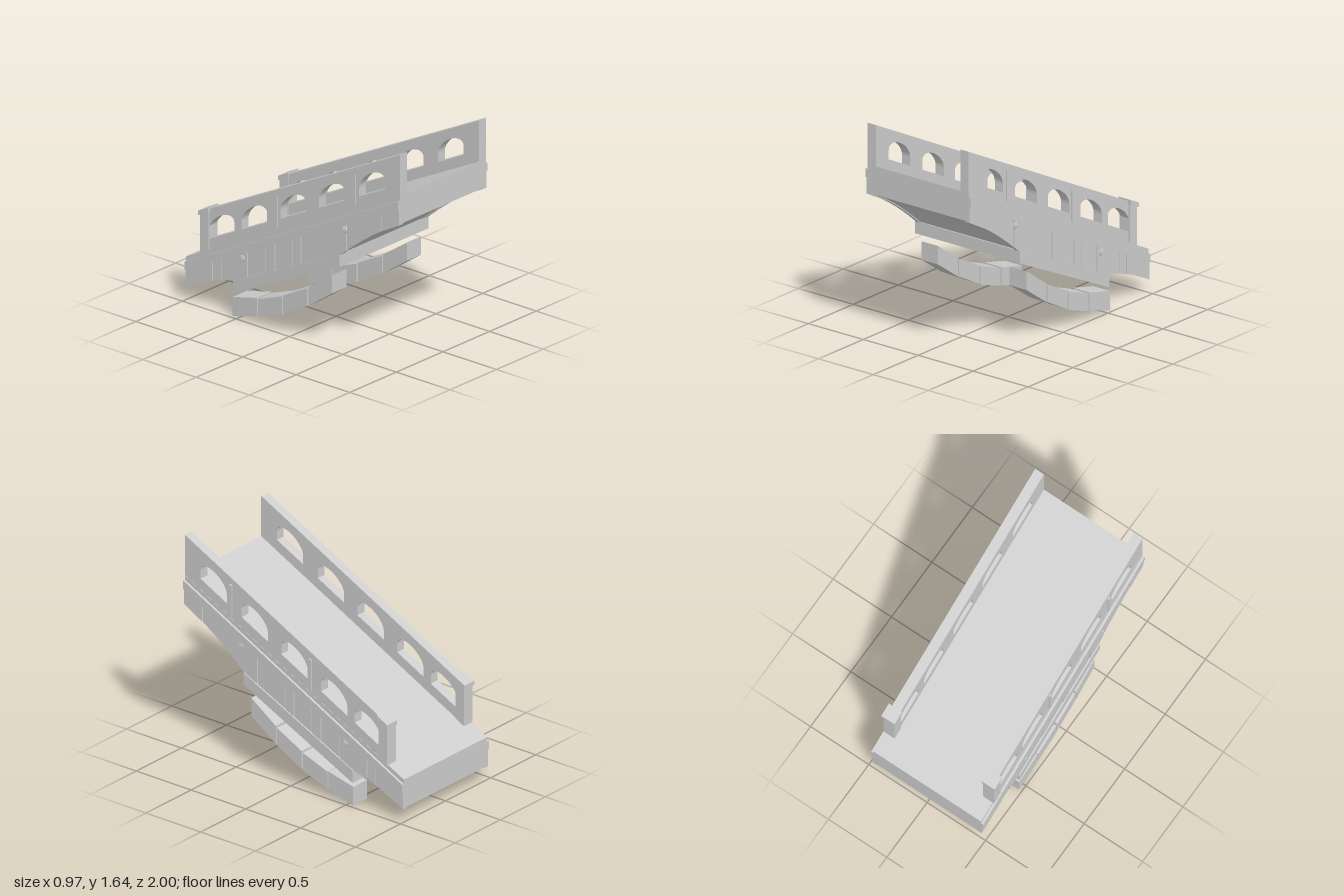
import * as THREE from 'three';

const stone = new THREE.MeshStandardMaterial({ color: 0xcccccc });
stone.name = 'paleStone';

// Deck height: everything is sheared along this slope
const deck = (z) => 0.83 + 0.5 * z;

// Extrude a side profile (z, y) across the width from x0 to x1
function slab(parent, name, shape, x0, x1) {
  const g = new THREE.ExtrudeGeometry(shape, { depth: x1 - x0, bevelEnabled: false, curveSegments: 12 });
  g.rotateY(-Math.PI / 2).translate(x1, 0, 0);
  const m = new THREE.Mesh(g, stone);
  m.name = name;
  parent.add(m);
}

const poly = (pts) => new THREE.Shape(pts.map(([z, y]) => new THREE.Vector2(z, y)));

// Sloped strip between two heights above the deck line
const strip = (z0, z1, h0, h1) => poly([
  [z0, deck(z0) + h0], [z1, deck(z1) + h0], [z1, deck(z1) + h1], [z0, deck(z0) + h1]]);

// Lower edge of the girder as [z, depth below deck], flared near the middle
const haunch = [[-1, -0.23], [-0.85, -0.233], [-0.75, -0.242], [-0.66, -0.257], [-0.545, -0.287],
  [0.45, -0.32], [0.56, -0.284], [0.676, -0.254], [0.76, -0.238], [0.835, -0.2285], [1, -0.223]];

function depthAt(z) {
  const i = Math.max(1, haunch.findIndex((p) => p[0] >= z));
  const [a, b] = [haunch[i - 1], haunch[i]];
  return a[1] + (b[1] - a[1]) * (z - a[0]) / (b[0] - a[0]);
}

// Girder profile between two stations
function girder(z0, z1, lift) {
  const zs = [z0, ...haunch.map((p) => p[0]).filter((z) => z > z0 && z < z1), z1];
  const pts = zs.map((z) => [z, deck(z) + depthAt(z) + lift]);
  return poly([...pts, [z1, deck(z1) - 0.09], [z0, deck(z0) - 0.09]]);
}

// Sheared round-headed opening
function archHole(zc) {
  const w = 0.12, pts = [[zc - w, deck(zc - w) + 0.084], [zc + w, deck(zc + w) + 0.084]];
  for (let i = 0; i <= 14; i++) {
    const a = Math.PI * i / 14, z = zc + w * Math.cos(a);
    pts.push([z, deck(z) + 0.152 + 0.083 * Math.sin(a)]);
  }
  return new THREE.Path(pts.map(([z, y]) => new THREE.Vector2(z, y)));
}

export function createModel() {
  const model = new THREE.Group();
  model.name = 'slopedBridge';

  // Deck, girder core and wide block below it
  slab(model, 'deckSlab', strip(-1, 1, -0.1, 0), -0.462, 0.462);
  slab(model, 'girderCore', girder(-1, 1, 0.008), -0.432, 0.432);
  slab(model, 'lowerBlock', poly([[-0.545, 0.175], [0.45, 0.645], [0.45, 0.737], [-0.545, 0.272]]), -0.477, 0.477);

  // Parapet with five openings
  const parapet = strip(-0.8, 1, 0, 0.312);
  for (const zc of [0.7375, 0.3625, 0, -0.362, -0.669]) parapet.holes.push(archHole(zc));

  // Supporting arch stones: z front, z back, then top and bottom heights at each
  const stones = [
    [0.38, 0.157, 0.565, 0.41, 0.425, 0.27], [0.146, -0.079, 0.4, 0.285, 0.265, 0.147],
    [-0.09, -0.314, 0.276, 0.195, 0.137, 0.062], [-0.325, -0.55, 0.2, 0.147, 0.062, 0]];

  // Vertical joints along the girder wall
  const joints = [-1, -0.747, -0.667, -0.42, -0.25, -0.164, 0, 0.08, 0.333, 0.505, 0.835, 1];

  for (const side of [1, -1]) {
    const half = new THREE.Group();
    half.name = side > 0 ? 'leftSide' : 'rightSide';
    model.add(half);
    const add = (name, shape, xIn, xOut) =>
      slab(half, name, shape, side > 0 ? xIn : -xOut, side > 0 ? xOut : -xIn);

    add('parapet', parapet, 0.385, 0.46);
    add('curb', strip(-1, 1, -0.1, -0.035), 0.415, 0.48);
    add('girderWall', girder(-1, 1, 0), 0.43, 0.458);

    // Wall panels separated by narrow grooves
    for (let i = 0; i < joints.length - 1; i++) {
      const a = joints[i] + (i ? 0.003 : 0);
      const b = joints[i + 1] - (i < joints.length - 2 ? 0.003 : 0);
      add('wallPanel', girder(a, b, 0), 0.45, i % 2 ? 0.466 : 0.469);
    }

    // End post and cap
    add('endPost', strip(-0.857, -0.78, 0, 0.3), 0.378, 0.475);
    add('endPostCap', strip(-0.866, -0.773, 0.29, 0.325), 0.373, 0.486);

    // Thin upright ribs on the parapet
    for (const z of [0.577, -0.15]) add('parapetRib', strip(z - 0.01, z + 0.01, 0.025, 0.26), 0.455, 0.471);

    for (const [z0, z1, t0, t1, b0, b1] of stones) {
      add('archStone', poly([[z1, b1], [z0, b0], [z0, t0], [z1, t1]]), 0.325, 0.477);
    }

    // Round anchor bolts
    for (const [z, y] of [[0.483, 0.937], [-0.469, 0.46]]) {
      for (const [r, x, n] of [[0.028, 0.479, 8], [0.016, 0.486, 8]]) {
        const bolt = new THREE.Mesh(new THREE.CylinderGeometry(r, r, x - 0.45, n).toNonIndexed(), stone);
        bolt.name = 'anchorBolt';
        bolt.rotation.z = Math.PI / 2;
        bolt.position.set(side * (x + 0.45) / 2, y, z);
        half.add(bolt);
      }
    }
  }
  return model;
}
